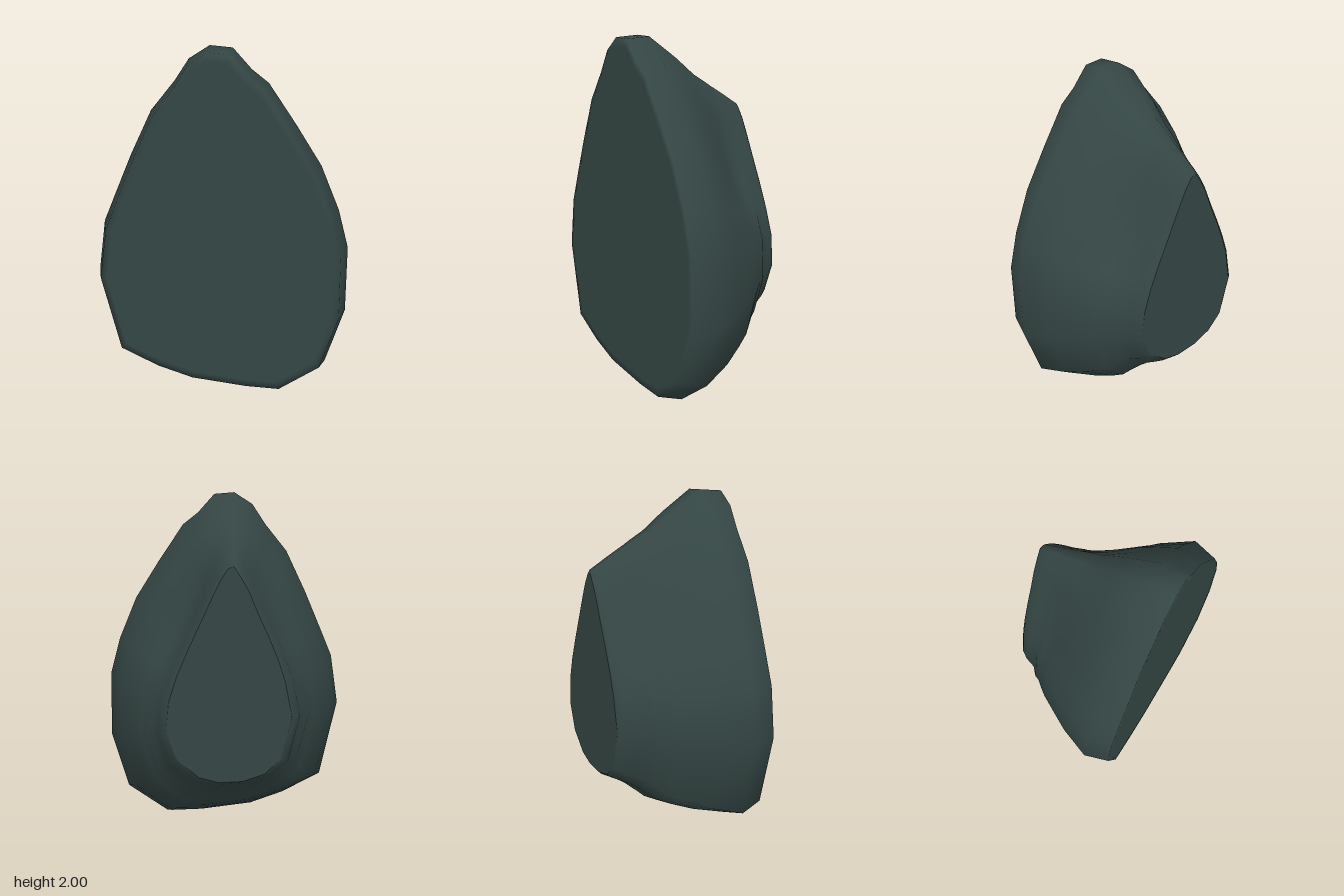
import * as THREE from 'three';

// Widest outline and the matching back outline, anticlockwise from the tip
const OUTER = [
  [0.06, 1.99], [-0.06, 2], [-0.17, 1.93], [-0.25, 1.81], [-0.38, 1.65], [-0.5, 1.4],
  [-0.59, 1.19], [-0.67, 1], [-0.715, 0.7], [-0.61, 0.23], [-0.38, 0.12], [-0.17, 0.05],
  [0.17, 0.01], [0.37, 0], [0.61, 0.17], [0.71, 0.51], [0.705, 0.9], [0.645, 1.12],
  [0.54, 1.37], [0.4, 1.59], [0.25, 1.81], [0.16, 1.88],
];
const BACK = [
  [0.01, 1.58], [-0.02, 1.59], [-0.06, 1.53], [-0.1, 1.46], [-0.15, 1.34], [-0.21, 1.21],
  [-0.26, 1.09], [-0.3, 0.97], [-0.34, 0.77], [-0.28, 0.53], [-0.19, 0.445], [-0.07, 0.405],
  [0.06, 0.4], [0.17, 0.43], [0.29, 0.53], [0.35, 0.69], [0.335, 0.86], [0.29, 1],
  [0.23, 1.14], [0.16, 1.29], [0.09, 1.44], [0.05, 1.52],
];

// Cross-sections: z, how far the sides, top and bottom have moved to the back
// outline, and the extra hollow in the upper flanks
const SECTIONS = [
  [0.4, 0.11, 0.035, 0.1, 0],
  [0.26, 0, 0, 0, 0],
  [0.08, 0.18, 0.28, 0.15, 0.08],
  [-0.05, 0.37, 0.51, 0.3, 0.18],
  [-0.13, 0.49, 0.61, 0.42, 0.25],
  [-0.17, 0.57, 0.665, 0.53, 0.24],
  [-0.21, 0.66, 0.715, 0.63, 0.2],
  [-0.24, 0.69, 0.755, 0.71, 0.18],
  [-0.28, 0.81, 0.805, 0.79, 0.1],
  [-0.34, 0.86, 0.89, 0.89, 0.06],
  [-0.385, 0.94, 0.95, 0.96, 0.02],
  [-0.4, 1, 1, 1, 0],
];

const { lerp } = THREE.MathUtils;

function section([z, side, top, bottom, hollow]) {
  return OUTER.map(([x, y], i) => {
    // Deepest on the left flank, fading out at the tip and at mid height
    const bump = Math.max(0, Math.sin((Math.PI * (y - 0.9)) / 1.1));
    const dip = hollow * bump * (x > 0 ? 1 : 0.5);
    const ty = lerp(bottom, top, y / 2);
    return [lerp(x, BACK[i][0], side + dip), lerp(y, BACK[i][1], ty + dip), z];
  });
}

export function createModel() {
  const group = new THREE.Group();
  group.name = 'stone';
  const material = new THREE.MeshStandardMaterial({ color: 0x344644 });
  const n = OUTER.length;
  const centre = [0, 0.9, 0.4];

  // Front centre, inner front ring, then the sections from front to back
  const rings = SECTIONS.map(section);
  rings.unshift(rings[0].map((p) => p.map((v, k) => lerp(centre[k], v, 0.95))));
  const positions = [centre, ...rings.flat()].flat();
  const index = [];
  for (let i = 0; i < n; i++) {
    const j = (i + 1) % n;
    index.push(0, 1 + i, 1 + j);
    for (let r = 0; r < rings.length - 1; r++) {
      const a = 1 + r * n;
      const b = a + n;
      index.push(a + i, b + i, b + j, a + i, b + j, a + j);
    }
  }
  const bodyGeometry = new THREE.BufferGeometry();
  bodyGeometry.setAttribute('position', new THREE.Float32BufferAttribute(positions, 3));
  bodyGeometry.setIndex(index);
  bodyGeometry.computeVertexNormals();
  const body = new THREE.Mesh(bodyGeometry, material);
  body.name = 'stoneBody';
  group.add(body);

  // Flat back face, mirrored then turned to face backwards
  const shape = new THREE.Shape(BACK.map(([x, y]) => new THREE.Vector2(-x, y)));
  const back = new THREE.Mesh(new THREE.ShapeGeometry(shape), material);
  back.name = 'flatBack';
  back.rotation.y = Math.PI;
  back.position.z = -0.4;
  group.add(back);

  return group;
}
